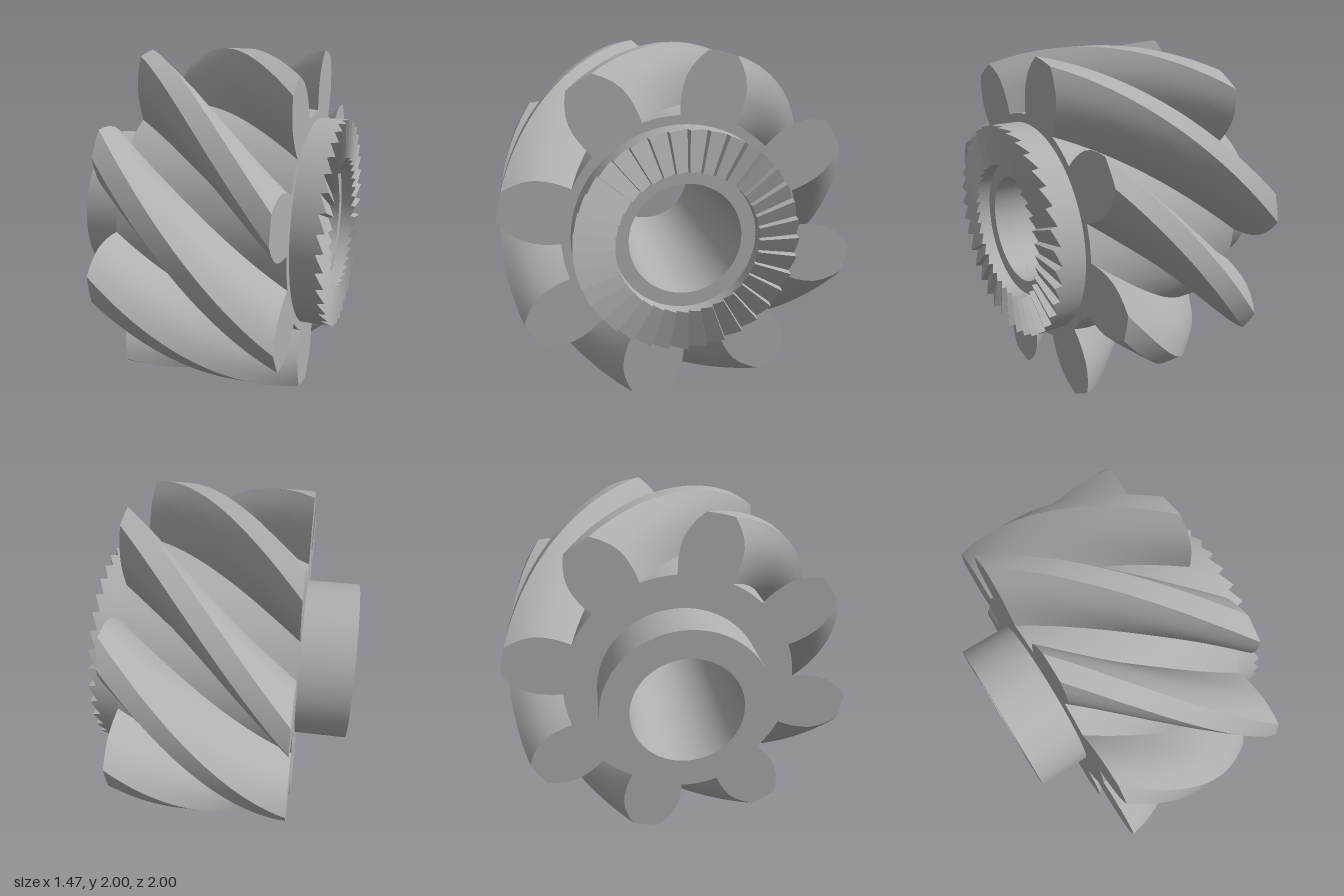
import * as THREE from 'three';
import { toCreasedNormals } from 'three/addons/utils/BufferGeometryUtils.js';

const RAD = Math.PI / 180;
const BORE = 0.31, LEFT = -0.43, RIGHT = 0.55, CENTER_Y = 1;
const crease = (geometry) => toCreasedNormals(geometry, 30 * RAD);

// Eight-tooth gear section, extruded along the axle and twisted
function helicalGear() {
  const teeth = 8, pitch = 360 / teeth, phase = 77.8, twist = 65.6 * RAD;
  // radius and half-angle of the flank, from root to tip
  const flank = [[0.66, 13.5], [0.71, 13.4], [0.76, 13], [0.81, 12.3], [0.86, 11.2], [0.91, 9.4], [0.96, 6.9], [1, 4.55]];
  const points = [];
  const add = (r, deg) => points.push(new THREE.Vector2(r * Math.cos(deg * RAD), r * Math.sin(deg * RAD)));
  for (let i = 0; i < teeth; i++) {
    const mid = phase + i * pitch;
    for (const [r, half] of flank) add(r, mid - half);
    for (const f of [-0.5, 0, 0.5]) add(1, mid + 4.55 * f);
    for (const [r, half] of [...flank].reverse()) add(r, mid + half);
    for (const f of [0.25, 0.5, 0.75]) add(0.66, mid + 13.5 + (pitch - 27) * f);
  }
  const shape = new THREE.Shape(points);
  shape.holes.push(new THREE.Path().absarc(0, 0, BORE, 0, Math.PI * 2, true));

  const depth = RIGHT - LEFT;
  const geometry = new THREE.ExtrudeGeometry(shape, { depth, steps: 36, bevelEnabled: false, curveSegments: 36 });
  const p = geometry.attributes.position;
  const v = new THREE.Vector3(), axis = new THREE.Vector3(0, 0, 1);
  for (let i = 0; i < p.count; i++) {
    v.fromBufferAttribute(p, i);
    v.applyAxisAngle(axis, -twist * (1 - v.z / depth));
    p.setXYZ(i, v.x, v.y, v.z);
  }
  geometry.rotateY(Math.PI / 2).translate(LEFT, CENTER_Y, 0);
  return crease(geometry);
}

// Plain bored collar
function collar() {
  const end = -0.735, r = 0.47;
  const profile = [[BORE, end], [r, end], [r, LEFT], [BORE, LEFT], [BORE, end]].map(([a, b]) => new THREE.Vector2(a, b));
  const geometry = new THREE.LatheGeometry(profile, 72);
  geometry.rotateZ(-Math.PI / 2).translate(0, CENTER_Y, 0);
  return crease(geometry);
}

// Ring with saw teeth on its end face and a recessed flat inside
function ratchetRing() {
  const count = 36, pitch = 360 / count, outer = 0.61, inner = 0.39, top = 0.73, floor = 0.64;
  const ramp = [[0, 0], [0.31, 1 / 3], [0.62, 2 / 3], [0.93, 1]]; // share of pitch, share of depth
  const columns = [];
  for (let i = 0; i <= count; i++) {
    for (const [f, drop] of i < count ? ramp : [ramp[0]]) {
      const angle = (i + f) * pitch * RAD;
      const height = (r) => top - 0.07 * r * drop;
      const section = [[outer, RIGHT], [outer, height(outer)], [inner, height(inner)], [inner, floor], [BORE, floor], [BORE, RIGHT]];
      columns.push(section.map(([r, x]) => [x, CENTER_Y + r * Math.sin(angle), r * Math.cos(angle)]));
    }
  }
  const positions = [];
  for (let i = 0; i < columns.length - 1; i++) {
    const a = columns[i], b = columns[i + 1];
    for (let j = 0; j < a.length - 1; j++) {
      positions.push(...a[j], ...a[j + 1], ...b[j], ...a[j + 1], ...b[j + 1], ...b[j]);
    }
  }
  const geometry = new THREE.BufferGeometry();
  geometry.setAttribute('position', new THREE.Float32BufferAttribute(positions, 3));
  return crease(geometry);
}

export function createModel() {
  const steel = new THREE.MeshStandardMaterial({ color: 0xb0b0b0 });
  steel.name = 'steelGrey';
  const group = new THREE.Group();
  group.name = 'helicalRatchetGear';
  const parts = { helicalGear: helicalGear(), hubCollar: collar(), ratchetRing: ratchetRing() };
  for (const [name, geometry] of Object.entries(parts)) {
    const mesh = new THREE.Mesh(geometry, steel);
    mesh.name = name;
    group.add(mesh);
  }
  return group;
}
